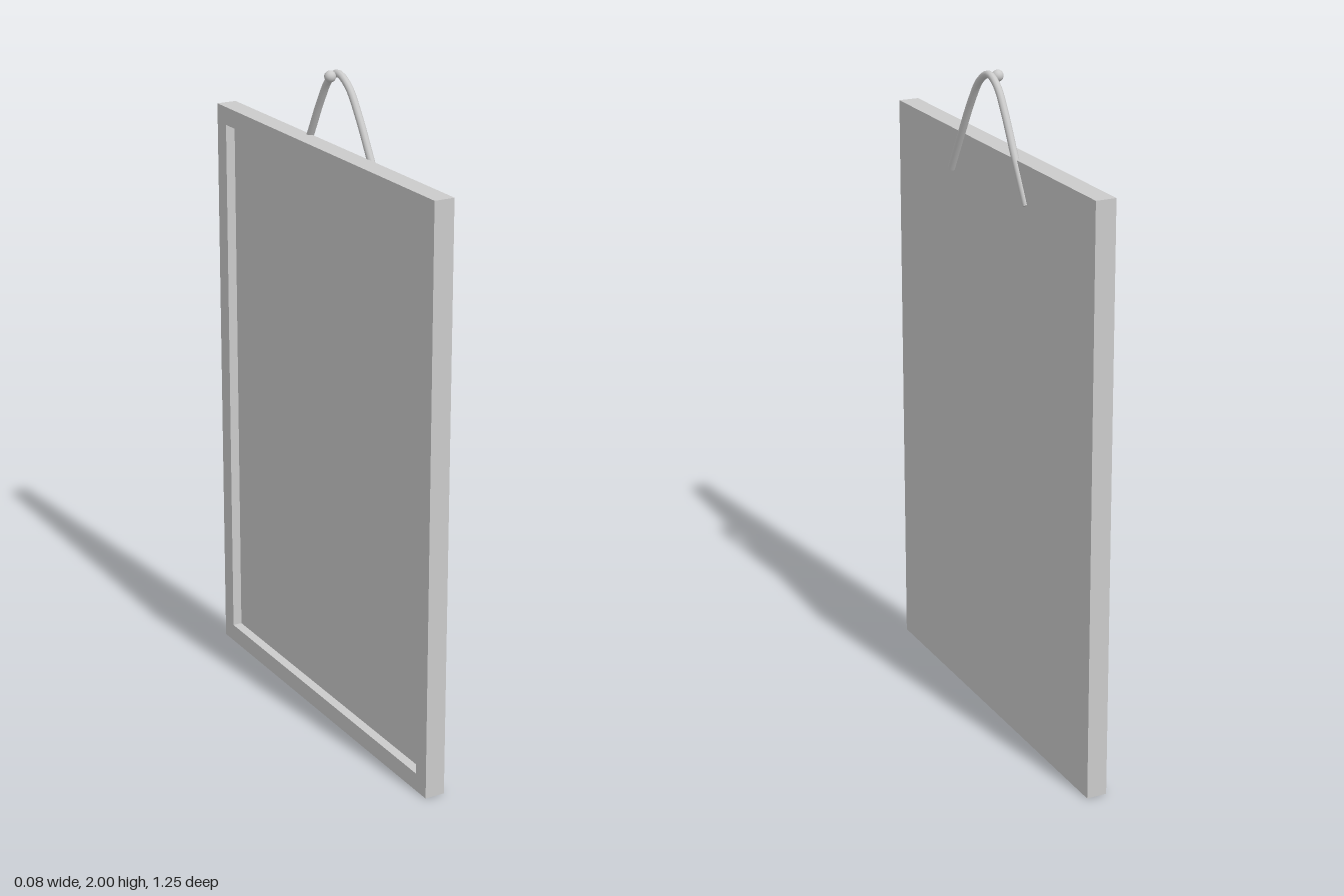
import * as THREE from 'three';

const material = new THREE.MeshStandardMaterial({ color: 0xcccccc });

function addPart(group, name, geometry, x = 0, y = 0, z = 0) {
  const mesh = new THREE.Mesh(geometry, material);
  mesh.name = name;
  mesh.position.set(x, y, z);
  group.add(mesh);
  return mesh;
}

export function createModel() {
  const group = new THREE.Group();
  group.name = 'hangingBoard';

  const width = 1.25, height = 1.78, border = 0.055;
  const backX = 0.02, panelX = -0.013, rimX = -0.042;

  // Flat panel, plain on the cord side
  addPart(group, 'panel', new THREE.BoxGeometry(backX - panelX, height, width),
    (backX + panelX) / 2, height / 2, 0);

  // Raised rim around the recessed side
  const outline = new THREE.Shape([
    new THREE.Vector2(-width / 2, 0), new THREE.Vector2(width / 2, 0),
    new THREE.Vector2(width / 2, height), new THREE.Vector2(-width / 2, height),
  ]);
  const w = width / 2 - border;
  outline.holes.push(new THREE.Path([
    new THREE.Vector2(-w, border), new THREE.Vector2(-w, height - border),
    new THREE.Vector2(w, height - border), new THREE.Vector2(w, border),
  ]));
  const rim = new THREE.ExtrudeGeometry(outline, { depth: panelX - rimX, bevelEnabled: false });
  rim.rotateY(-Math.PI / 2);
  addPart(group, 'frameRim', rim, panelX, 0, 0);

  // Hanging cord, bowed over the nail and slightly skewed
  const path = new THREE.CatmullRomCurve3([
    [0.031, 1.662, 0.236], [0.029, 1.79, 0.165], [0.027, 1.89, 0.108], [0.025, 1.962, 0.055],
    [0.023, 1.989, 0], [0.021, 1.964, -0.046], [0.02, 1.895, -0.093],
    [0.019, 1.79, -0.149], [0.017, 1.662, -0.22],
  ].map((p) => new THREE.Vector3(...p)));
  const radius = 0.011;
  addPart(group, 'cord', new THREE.TubeGeometry(path, 48, radius, 10));

  // Closed ends of the cord
  for (const t of [0, 1]) {
    const point = path.getPoint(t);
    const cap = addPart(group, 'cordEnd', new THREE.CircleGeometry(radius, 10), point.x, point.y, point.z);
    const outward = path.getTangent(t).multiplyScalar(t ? 1 : -1);
    cap.quaternion.setFromUnitVectors(new THREE.Vector3(0, 0, 1), outward);
  }

  // Round nail head beside the top of the cord
  addPart(group, 'nailHead', new THREE.SphereGeometry(0.017, 20, 14), -0.003, 1.983, 0);

  return group;
}
